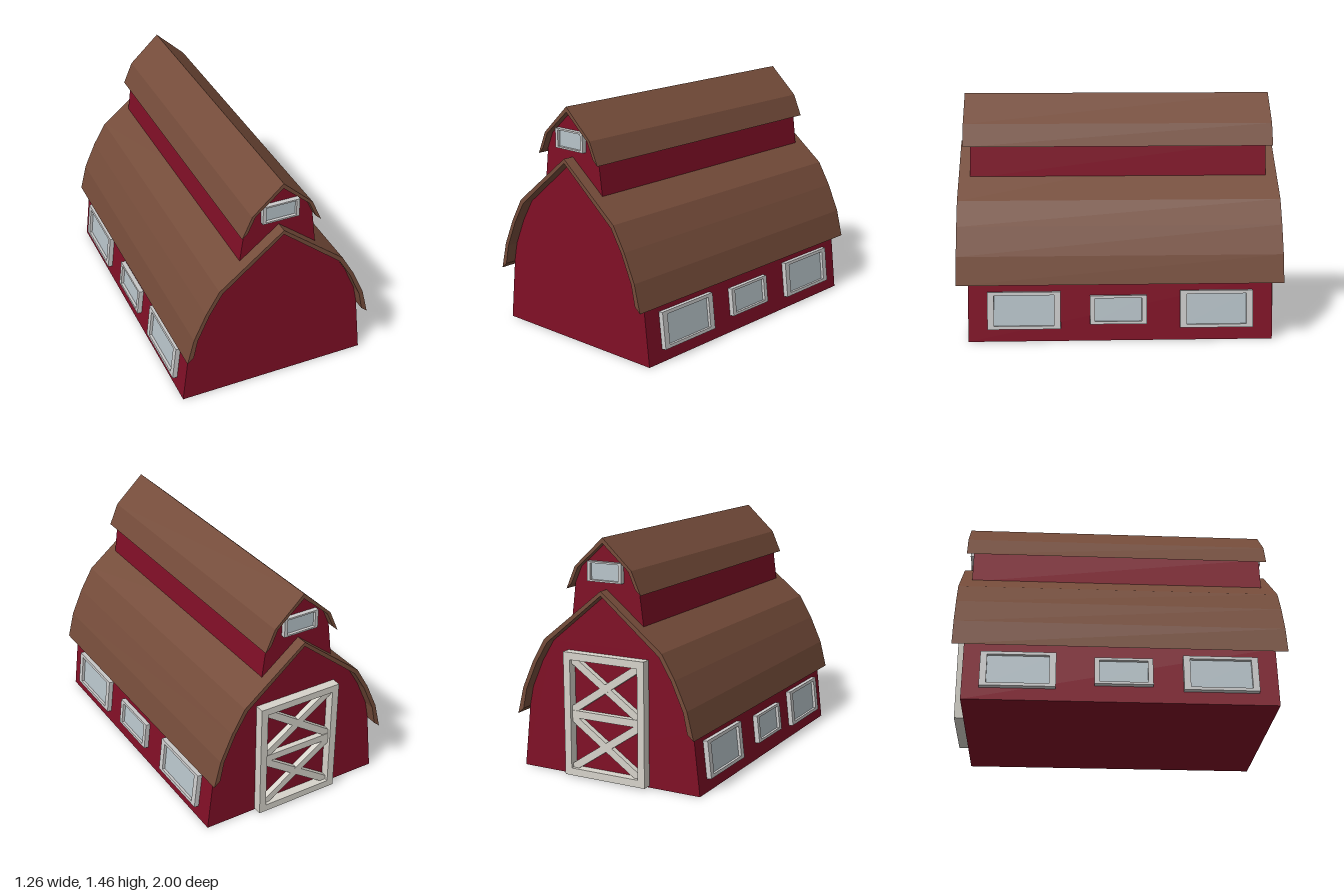
import * as THREE from 'three';

const mat = (color) => new THREE.MeshStandardMaterial({ color, flatShading: true });
const red = mat(0x800f26), brown = mat(0x754c3a), grey = mat(0xcccccc);
const glassBlue = mat(0xb8c4ca), cream = mat(0xd6d3ca);

const mesh = (name, geometry, material) => {
  const m = new THREE.Mesh(geometry, material);
  m.name = name;
  return m;
};

// Right half profile (ridge down to eave) mirrored into a full outline
const mirrored = (half) => half.slice(1).reverse().map(([x, y]) => [-x, y]).concat(half);

// Extrude an outline along z, centred
function prism(name, points, length, material) {
  const shape = new THREE.Shape(points.map(([x, y]) => new THREE.Vector2(x, y)));
  const g = new THREE.ExtrudeGeometry(shape, { depth: length, bevelEnabled: false });
  g.translate(0, 0, -length / 2);
  return mesh(name, g, material);
}

const roof = (name, outer, inner, length) =>
  prism(name, mirrored(outer).concat(mirrored(inner).reverse()), length, brown);

// Rectangular frame with an opening, back on z = 0
function frame(name, w, h, bx, by, depth, material) {
  const rect = (Type, a, b) => new Type([[-a, -b], [a, -b], [a, b], [-a, b]].map(([x, y]) => new THREE.Vector2(x, y)));
  const shape = rect(THREE.Shape, w / 2, h / 2);
  shape.holes.push(rect(THREE.Path, w / 2 - bx, h / 2 - by));
  return mesh(name, new THREE.ExtrudeGeometry(shape, { depth, bevelEnabled: false }), material);
}

function makeWindow(name, w, h, bx, by) {
  const g = new THREE.Group();
  g.name = name;
  const pane = mesh('windowPane', new THREE.BoxGeometry(w - bx, h - by, 0.012), glassBlue);
  pane.position.z = 0.006;
  g.add(frame('windowFrame', w, h, bx, by, 0.03, grey), pane);
  return g;
}

// Barn door: frame, middle rail and two crossed braces
function makeDoor(w, h) {
  const g = new THREE.Group();
  g.name = 'barnDoor';
  const b = 0.045;
  g.add(frame('doorFrame', w, h, b, b, 0.06, cream));
  const bar = (name, length, y, angle, z) => {
    const m = mesh(name, new THREE.BoxGeometry(length, b, 0.036), cream);
    m.position.set(0, y, z);
    m.rotation.z = angle;
    g.add(m);
  };
  bar('doorRail', w - b, 0, 0, 0.024);
  const pw = w - 2 * b, ph = h / 2 - 1.5 * b;
  for (const s of [-1, 1]) {
    for (const d of [-1, 1]) {
      bar('doorBrace', Math.hypot(pw, ph), s * (ph + b) / 2, d * Math.atan2(ph, pw), 0.02 + d * 0.001);
    }
  }
  return g;
}

export function createModel() {
  const model = new THREE.Group();
  model.name = 'barn';

  // Main hall
  const hallRoof = [[0, 1.13], [0.38, 0.815], [0.462, 0.68], [0.538, 0.51], [0.565, 0.385]];
  model.add(prism('barnWalls', mirrored([...hallRoof, [0.61, 0]]), 1.86, red));
  model.add(roof('barnRoof',
    [[0, 1.157], [0.4, 0.835], [0.485, 0.69], [0.562, 0.52], [0.605, 0.35]], hallRoof, 2));

  // Raised loft along the ridge
  const loftRoof = [[0, 1.43], [0.17, 1.28], [0.215, 1.18]];
  model.add(prism('loftWalls', mirrored([...loftRoof, [0.245, 0.95]]), 1.858, red));
  model.add(roof('loftRoof', [[0, 1.462], [0.19, 1.285], [0.25, 1.148]], loftRoof, 1.945));

  // Side windows, tilted with the battered walls
  const tilt = Math.atan2(0.045, 0.385);
  for (const s of [-1, 1]) {
    for (const z of [s > 0 ? -0.585 : -0.605, 0.015, 0.59]) {
      const small = z === 0.015;
      const win = small
        ? makeWindow('smallSideWindow', 0.345, 0.175, 0.03, 0.016)
        : makeWindow('largeSideWindow', 0.445, 0.228, 0.04, 0.02);
      win.rotation.set(-tilt, s * Math.PI / 2, 0, 'YXZ');
      win.position.set(s * 0.588, 0.191, z);
      model.add(win);
    }
  }

  // Loft windows on both gables
  for (const s of [-1, 1]) {
    const win = makeWindow('loftWindow', 0.23, 0.118, 0.02, 0.01);
    win.position.set(0, 1.26, s * 0.928);
    if (s < 0) win.rotation.y = Math.PI;
    model.add(win);
  }

  // Door on the back gable
  const door = makeDoor(0.55, 0.76);
  door.position.set(0, 0.39, -0.928);
  door.rotation.y = Math.PI;
  model.add(door);

  return model;
}
